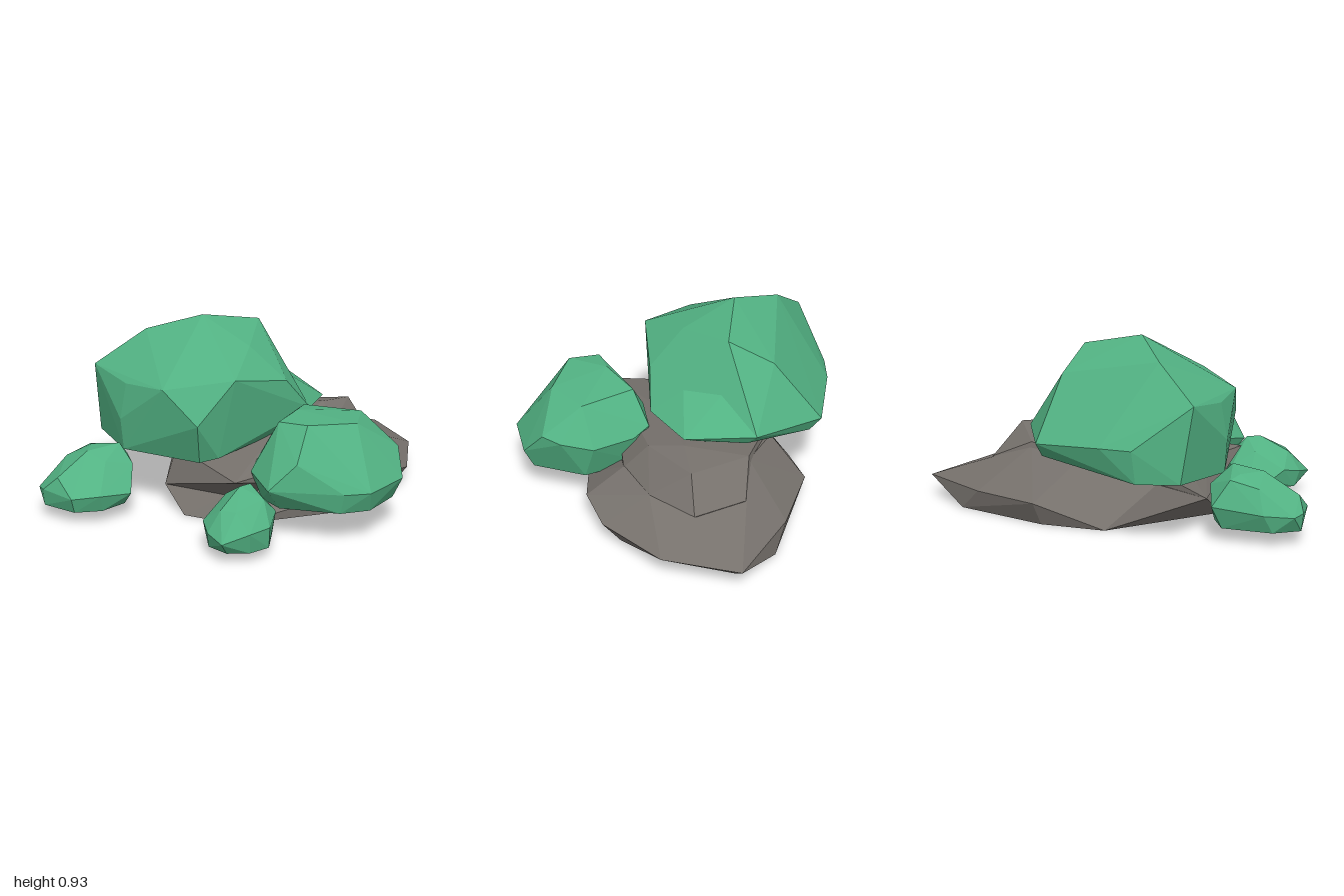
import * as THREE from 'three';
import { ConvexGeometry } from 'three/addons/geometries/ConvexGeometry.js';

const leaf = new THREE.MeshStandardMaterial({ color: 0x52b283 });
leaf.name = 'leafGreen';
const stone = new THREE.MeshStandardMaterial({ color: 0x77726d });
stone.name = 'stoneGrey';

// Faceted lump: the hull around a few corner points, flat shaded by its unshared normals
function lump(name, material, corners) {
  const points = corners.map(c => new THREE.Vector3(...c));
  const mesh = new THREE.Mesh(new ConvexGeometry(points), material);
  mesh.name = name;
  return mesh;
}

export function createModel() {
  const model = new THREE.Group();
  model.name = 'rockWithBushes';

  // Rock: wide pointed slab with a raised hump that overhangs at the front
  const rock = new THREE.Group();
  rock.name = 'rock';
  rock.add(lump('rockSlab', stone, [
    // ground outline
    [0.2, 0, -0.86], [0.58, 0, -0.38], [0.58, 0, 0.04], [0.1, 0, 0.5], [-0.19, 0, 0.5],
    [-0.53, 0, -0.1], [-0.4, 0, -0.41], [-0.05, 0, -0.82],
    // widest edge
    [0.23, 0.11, -1], [0.53, 0.11, -0.735], [0.665, 0.11, -0.355], [0.66, 0.155, -0.15], [0.55, 0.11, 0.08],
    [0, 0.11, 0.43], [-0.345, 0.11, 0.41], [-0.41, 0.2, 0.16], [-0.425, 0.11, -0.45], [-0.155, 0.11, -0.735],
    // upper edge
    [0.035, 0.25, -0.63], [0.3, 0.22, -0.62], [0.435, 0.25, -0.41], [0.45, 0.255, -0.14],
    [-0.09, 0.33, -0.46], [-0.33, 0.28, -0.25],
  ]));
  rock.add(lump('rockHump', stone, [
    [0.035, 0.25, -0.665], [0.3, 0.22, -0.635], [0.26, 0.39, -0.52], [-0.09, 0.35, -0.46], [0.435, 0.25, -0.41],
    [0.2, 0.415, -0.32], [0.33, 0.37, -0.18], [0.12, 0.36, 0.1], [-0.33, 0.3, -0.2], [0.45, 0.25, -0.14],
    [0.16, 0.27, 0.63], [-0.17, 0.28, 0.42], [-0.335, 0.28, 0.3], [-0.41, 0.25, 0.18],
    [-0.345, 0.11, 0.41], [0, 0.11, 0.42], [0.4, 0.1, 0], [-0.4, 0.1, 0], [0.1, 0.1, -0.6],
  ]));
  model.add(rock);

  // Large bush: main crown plus a low spur at the back
  const largeBush = new THREE.Group();
  largeBush.name = 'largeBush';
  largeBush.add(lump('largeBushCrown', leaf, [
    // crown
    [-0.29, 0.925, 0.09], [-0.58, 0.835, 0.16], [-0.11, 0.86, -0.19], [-0.01, 0.8, 0.12], [-0.31, 0.74, -0.3],
    // shoulders
    [0.06, 0.71, 0.42], [0.185, 0.64, 0.1], [-0.27, 0.655, 0.555], [-0.8, 0.66, 0.31], [-0.07, 0.5, 0.575],
    [-0.53, 0.63, 0.46], [-0.55, 0.45, 0.49], [0.25, 0.47, -0.04], [0.09, 0.62, -0.09], [-0.05, 0.62, -0.26],
    [-0.13, 0.45, -0.465], [-0.52, 0.43, -0.43], [-0.73, 0.45, -0.13], [-0.8, 0.45, 0.02],
    // underside
    [-0.81, 0.29, 0.25], [-0.79, 0.29, 0.04], [-0.54, 0.29, 0.48], [-0.1, 0.29, 0.5], [-0.02, 0.31, 0.45],
    [0.15, 0.36, 0], [-0.1, 0.4, -0.42], [-0.47, 0.36, -0.4],
  ]));
  largeBush.add(lump('largeBushSpur', leaf, [
    [0.2, 0.45, -0.32], [0.25, 0.47, -0.04], [-0.13, 0.45, -0.465], [-0.05, 0.62, -0.26], [0.09, 0.62, -0.09],
    [0.1, 0.4, -0.3], [0.15, 0.36, 0], [-0.1, 0.4, -0.42], [-0.3, 0.5, 0],
  ]));
  model.add(largeBush);

  model.add(lump('mediumBush', leaf, [
    // crown
    [0.28, 0.53, 0.1], [0.335, 0.57, 0.3], [0.575, 0.53, 0.07], [0.645, 0.54, 0.29], [0.31, 0.55, 0.46], [0.47, 0.56, 0.48],
    // widest edge
    [0.15, 0.32, 0.345], [0.18, 0.36, 0.2], [0.25, 0.37, -0.02], [0.35, 0.34, -0.05], [0.575, 0.34, -0.06],
    [0.72, 0.37, 0.02], [0.785, 0.39, 0.1], [0.85, 0.265, 0.2], [0.79, 0.26, 0.455], [0.64, 0.42, 0.44],
    [0.685, 0.26, 0.53], [0.47, 0.4, 0.6], [0.35, 0.27, 0.665], [0.19, 0.3, 0.52],
    // underside
    [0.8, 0.16, 0.2], [0.77, 0.16, 0.42], [0.66, 0.16, 0.52], [0.37, 0.16, 0.58], [0.24, 0.16, 0.5],
    [0.2, 0.16, 0.25], [0.3, 0.16, 0], [0.6, 0.16, 0],
  ]));

  model.add(lump('smallBushRight', leaf, [
    // crown
    [-0.73, 0.295, 0.49], [-0.69, 0.315, 0.54], [-0.54, 0.335, 0.52], [-0.645, 0.32, 0.66], [-0.54, 0.28, 0.66], [-0.79, 0.265, 0.62],
    // widest edge
    [-0.75, 0.17, 0.4], [-0.855, 0.15, 0.635], [-0.855, 0.14, 0.78], [-0.8, 0.15, 0.83], [-0.61, 0.14, 0.875],
    [-0.49, 0.15, 0.8], [-0.4, 0.135, 0.66], [-0.45, 0.25, 0.55], [-0.56, 0.24, 0.41], [-0.72, 0.22, 0.82],
    // underside
    [-0.84, 0.065, 0.68], [-0.8, 0.065, 0.82], [-0.61, 0.065, 0.85], [-0.5, 0.065, 0.77], [-0.455, 0.065, 0.63],
    [-0.58, 0.065, 0.43], [-0.74, 0.065, 0.45],
  ]));

  model.add(lump('smallBushLeft', leaf, [
    // crown
    [0.24, 0.305, 0.74], [0.26, 0.3, 0.67], [0.145, 0.24, 0.7], [0.35, 0.25, 0.71], [0.21, 0.23, 0.88], [0.29, 0.23, 0.88],
    // widest edge
    [0.06, 0.1, 0.77], [0.065, 0.12, 0.665], [0.14, 0.17, 0.58], [0.27, 0.17, 0.55], [0.38, 0.17, 0.64],
    [0.425, 0.15, 0.8], [0.38, 0.15, 0.92], [0.275, 0.11, 1], [0.17, 0.13, 0.94], [0.1, 0.15, 0.85],
    // underside
    [0.09, 0.05, 0.75], [0.16, 0.05, 0.91], [0.275, 0.05, 0.95], [0.37, 0.05, 0.9], [0.42, 0.05, 0.8],
    [0.36, 0.05, 0.64], [0.25, 0.05, 0.57], [0.14, 0.05, 0.61],
  ]));

  return model;
}
